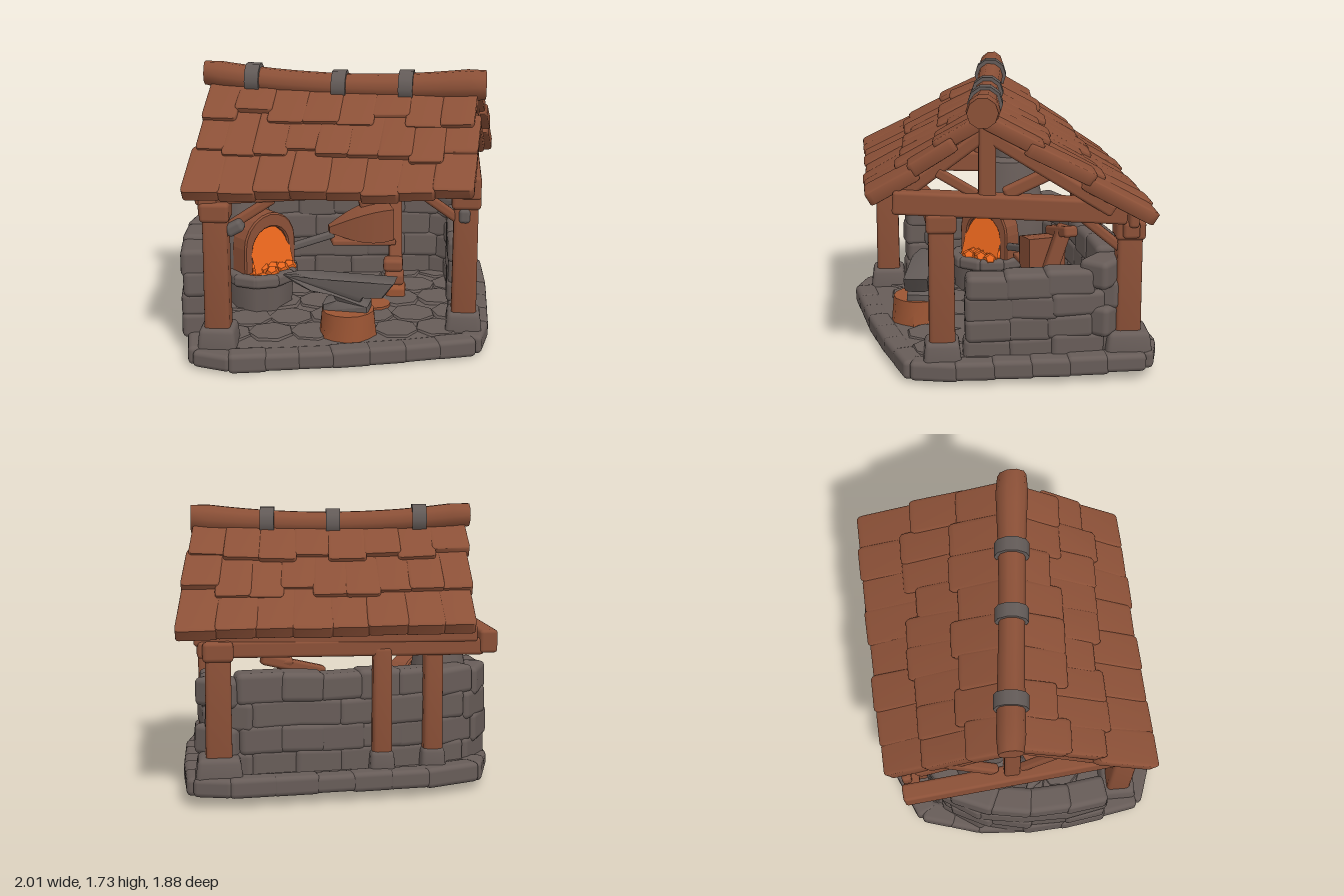
import * as THREE from 'three';
import { toCreasedNormals } from 'three/addons/utils/BufferGeometryUtils.js';
import { RoundedBoxGeometry } from 'three/addons/geometries/RoundedBoxGeometry.js';

const V = (x, y, z) => new THREE.Vector3(x, y, z);
const material = (name, color) => {
  const m = new THREE.MeshStandardMaterial({ color });
  m.name = name;
  return m;
};

export function createModel() {
  const wood = material('wood', 0x8b5037);
  const stone = material('stone', 0x675c58);
  const iron = material('iron', 0x635b58);
  const cutWood = material('cut wood', 0x9a5433);
  const ember = material('ember', 0xfa6e20);
  const model = new THREE.Group();
  model.name = 'forge';

  let seed = 7;
  const rnd = (a = 1) => { // seeded jitter in -a..a
    seed = (seed * 16807) % 2147483647;
    return (seed / 2147483647 * 2 - 1) * a;
  };
  const group = (name) => {
    const g = new THREE.Group();
    g.name = name;
    model.add(g);
    return g;
  };
  const add = (parent, name, geo, mat, x = 0, y = 0, z = 0) => {
    const m = new THREE.Mesh(geo, mat);
    m.name = name;
    m.position.set(x, y, z);
    parent.add(m);
    return m;
  };
  const warp = (geo, fn) => {
    const p = geo.attributes.position;
    for (let i = 0; i < p.count; i++) {
      const q = fn(p.getX(i), p.getY(i), p.getZ(i));
      p.setXYZ(i, q.x, q.y, q.z);
    }
    geo.computeVertexNormals();
    return toCreasedNormals(geo, 0.7);
  };
  const block = (w, h, d, r = 0.025) => new RoundedBoxGeometry(w, h, d, 2, Math.min(r, w / 3, h / 3, d / 3));
  // Squared timber running from a to b
  const beam = (parent, name, a, b, w, h, mat = wood) => {
    const m = add(parent, name, block(w, h, a.distanceTo(b), 0.02), mat);
    m.position.copy(a).lerp(b, 0.5);
    m.lookAt(b);
    return m;
  };
  const floorY = (z) => 0.1 + 0.03 * (0.93 - z);

  // Floor slab, rising slightly to the back
  const outline = [[-0.84, 0.84], [-0.63, 0.91], [0, 0.8], [0.45, 0.69], [0.88, 0.56], [0.93, 0.3], [0.94, -0.4],
    [0.92, -0.86], [0.72, -0.91], [0.2, -0.85], [-0.5, -0.76], [-0.82, -0.62], [-0.93, -0.25], [-0.95, 0.1], [-0.9, 0.5]];
  const floor = group('floor');
  const slab = new THREE.ExtrudeGeometry(
    new THREE.Shape(outline.map(([x, z]) => new THREE.Vector2(x * 0.98, -z * 0.98))), { depth: 0.105, bevelEnabled: false });
  slab.rotateX(-Math.PI / 2);
  add(floor, 'slab', warp(slab, (x, y, z) => V(x, y + 0.03 * (0.93 - z), z)), stone);
  outline.forEach(([x0, z0], i) => { // edging stones
    const [x1, z1] = outline[(i + 1) % outline.length];
    const len = Math.hypot(x1 - x0, z1 - z0);
    const n = Math.max(1, Math.round(len / 0.25));
    for (let k = 0; k < n; k++) {
      const t = (k + 0.5) / n, z = z0 + (z1 - z0) * t;
      const m = add(floor, 'edgeStone', block(len / n + 0.03, 0.115 + rnd(0.01), 0.14, 0.03), stone,
        (x0 + (x1 - x0) * t) * 0.96, floorY(z) - 0.043, z * 0.96);
      m.rotation.y = Math.atan2(-(z1 - z0), x1 - x0);
    }
  });
  for (let i = 0; i < 6; i++) for (let j = 0; j < 5; j++) { // flagstones
    const x = -0.66 + i * 0.26 + (j % 2) * 0.1, z = -0.42 + j * 0.25 - i * 0.035;
    const f = add(floor, 'flagstone', new THREE.CylinderGeometry(0.14, 0.16, 0.03, 7), stone, x, floorY(z) + 0.001 + rnd(0.005), z);
    f.rotation.y = rnd(3);
  }

  // Curved wall of coursed stones
  const wall = group('wall');
  const path = new THREE.CatmullRomCurve3([V(0.78, 0.62, 0.21), V(0.78, 0.63, -0.1), V(0.78, 0.66, -0.45), V(0.75, 0.7, -0.6),
    V(0.62, 0.73, -0.65), V(0.35, 0.74, -0.63), V(-0.1, 0.73, -0.58), V(-0.5, 0.74, -0.5), V(-0.78, 0.71, -0.34),
    V(-0.89, 0.68, -0.04), V(-0.9, 0.66, 0.28), V(-0.86, 0.61, 0.56)], false, 'centripetal');
  for (let row = 0; row < 4; row++) {
    const n = 13 + (row % 2);
    for (let k = 0; k < n; k++) {
      const t = (k + 0.5) / n;
      const p = path.getPointAt(t), d = path.getTangentAt(t);
      const base = floorY(p.z) - 0.02, h = (p.y - base) / 4;
      const thick = 0.165 + 0.03 * Math.abs(d.x) + rnd(0.015); // the back run is heavier
      const m = add(wall, 'wallStone', block(path.getLength() / n + 0.05 + rnd(0.02), h + 0.03 + rnd(0.015), thick, 0.035),
        stone, p.x, base + h * (row + 0.5), p.z);
      m.rotation.set(0, Math.atan2(-d.z, d.x) + rnd(0.04), rnd(0.04));
    }
  }

  // Posts with stone feet and wooden caps: x, z, top, foot width, capped
  const frame = group('frame');
  [[-0.7, 0.71, 1.02, 0.23, 1], [0.8, 0.37, 1.03, 0.22, 1], [0.76, -0.75, 0.96, 0.27, 1],
    [-0.54, -0.62, 0.9, 0.15, 0], [-0.22, -0.68, 0.9, 0.15, 0]]
    .forEach(([x, z, top, foot, capped]) => {
      const y0 = floorY(z) - 0.02, h = top - y0, w = capped ? 0.145 : 0.11;
      const g = warp(block(w, h, w, 0.025), (px, py, pz) => {
        const s = 1 + 0.12 * Math.abs(py / h) - 0.06 * py / h;
        return V(px * s, py, pz * s);
      });
      add(frame, 'post', g, wood, x, y0 + h / 2, z);
      if (capped) add(frame, 'postCap', block(w + 0.035, 0.12, w + 0.035), wood, x, top - 0.06, z);
      const plinth = warp(block(foot, 0.17, foot, 0.03), (px, py, pz) => V(px * (1 - py), py, pz * (1 - py)));
      add(frame, 'postFoot', plinth, stone, x, y0 + 0.06, z);
    });

  // Tie beams, headers and braces
  beam(frame, 'rightTieBeam', V(0.82, 1.1, 0.65), V(0.84, 1.02, -0.72), 0.12, 0.14);
  beam(frame, 'leftTieBeam', V(-0.74, 1.0, 0.78), V(-0.87, 0.92, -0.7), 0.11, 0.14);
  beam(frame, 'frontHeader', V(-0.82, 1.04, 0.73), V(0.85, 1.06, 0.4), 0.1, 0.08);
  beam(frame, 'backHeader', V(-0.84, 0.89, -0.64), V(0.88, 0.91, -0.75), 0.1, 0.1);
  beam(frame, 'backEaveBoard', V(-0.8, 0.97, -0.67), V(0.9, 0.98, -0.76), 0.06, 0.1);
  beam(frame, 'brace', V(-0.64, 0.84, 0.68), V(-0.36, 1.02, 0.64), 0.06, 0.06);
  beam(frame, 'brace', V(0.75, 0.84, 0.4), V(0.52, 1.02, 0.46), 0.06, 0.06);
  beam(frame, 'brace', V(0.78, 0.78, -0.7), V(0.8, 0.99, -0.45), 0.06, 0.06);
  beam(frame, 'brace', V(-0.72, 0.8, 0.66), V(-0.76, 0.95, 0.5), 0.06, 0.06);
  add(frame, 'bracket', block(0.11, 0.075, 0.11), iron, -0.585, 0.855, 0.71).rotation.z = 0.5;
  add(frame, 'bracket', block(0.07, 0.09, 0.17), iron, 0.79, 0.87, 0.38);

  // Both gable trusses
  [[0.82, 0.1, 1.08], [-0.78, -0.02, 0.97]].forEach(([x, z, y]) => {
    beam(frame, 'kingPost', V(x, y, z), V(x, 1.56, z), 0.1, 0.1);
    beam(frame, 'strut', V(x, y + 0.05, z - 0.1), V(x, 1.27, z - 0.4), 0.06, 0.08);
    beam(frame, 'strut', V(x, y + 0.05, z + 0.06), V(x, 1.27, z + 0.29), 0.05, 0.06);
  });

  // Roof slopes: corner points give a twisted sheet that carries rafters and shingles
  const roof = group('roof');
  const ridgeL = V(-0.83, 1.57, -0.03), ridgeR = V(0.88, 1.57, 0.12);
  const slopes = [
    [ridgeL, ridgeR, V(-0.87, 1.05, 0.84), V(0.81, 1.06, 0.78)],
    [ridgeR, ridgeL, V(0.99, 0.975, -0.86), V(-0.8, 0.985, -0.78)]];
  slopes.forEach(([a, b, c, d]) => {
    const at = (u, v) => {
      const p = a.clone().lerp(b, u).lerp(c.clone().lerp(d, u), v);
      p.y -= 0.02 * Math.sin(Math.PI * THREE.MathUtils.clamp(u, 0, 1)) * (1 - v);
      return p;
    };
    const normal = b.clone().sub(a).cross(a.clone().sub(c)).normalize();
    if (normal.y < 0) normal.negate();
    const under = (u, v, n) => at(u, v).addScaledVector(normal, -n);
    for (let i = 0; i < 6; i++) {
      const u = 0.03 + i * 0.188;
      beam(roof, 'rafter', under(u, 0.02, 0.06), under(u, 0.8, 0.06), 0.07, 0.08);
    }
    beam(roof, 'purlin', under(0.01, 0.55, 0.07), under(0.99, 0.55, 0.07), 0.05, 0.05);
    for (let row = 0; row < 3; row++) {
      const n = 8 + (row % 2);
      for (let k = 0; k < n; k++) {
        const u0 = k / n - (k ? 0.006 : rnd(0.02)), u1 = (k + 1) / n + (k < n - 1 ? 0.006 : rnd(0.02));
        const v0 = Math.max(0, row / 3 - 0.08), v1 = (row + 1) / 3 + (row < 2 ? rnd(0.065) : rnd(0.015));
        const lift = 0.035 + rnd(0.01), tilt = rnd(0.008);
        const g = warp(new RoundedBoxGeometry(1, 1, 1, 2, 0.1), (x, y, z) => {
          const p = at(u0 + (u1 - u0) * (x + 0.5), v0 + (v1 - v0) * (z + 0.5));
          return p.addScaledVector(normal, y * 0.085 + lift * (z + 0.5) + tilt * x);
        });
        add(roof, 'shingle', g, wood);
      }
    }
  });

  // Sagging ridge log with iron straps, thicker at the right end
  const ridge = new THREE.CatmullRomCurve3([V(-0.87, 1.65, -0.035), V(-0.425, 1.608, 0.005), V(0.02, 1.592, 0.05),
    V(0.465, 1.6, 0.09), V(0.91, 1.625, 0.13)]);
  const radius = (x) => 0.08 + (x > 0 ? 0.033 : 0.012) * x * x;
  const log = warp(new THREE.CylinderGeometry(1, 1, 1, 10, 16), (x, y, z) => {
    const c = ridge.getPoint(y + 0.5);
    const r = radius(c.x) * (Math.abs(y) > 0.49 ? 0.85 : 1); // chamfered ends
    return V(c.x, c.y - x * r, c.z + z * r);
  });
  add(roof, 'ridgeLog', log, wood);
  [-0.55, 0, 0.42].forEach((x) => {
    const c = ridge.getPoint((x + 0.87) / 1.78), r = radius(x) + 0.022;
    const s = add(roof, 'ridgeStrap', new THREE.CylinderGeometry(r, r, 0.09, 10), iron, c.x, c.y, c.z);
    s.rotation.set(0, -0.09, Math.PI / 2);
  });

  // Hearth, hood and chimney
  const hearth = group('hearth');
  const bowl = add(hearth, 'hearthBase', new THREE.CylinderGeometry(0.225, 0.21, 0.26, 9), stone, -0.53, 0.225, 0);
  bowl.scale.z = 1.15;
  for (let i = 0; i < 10; i++) {
    const a = i / 10 * Math.PI * 2;
    const s = add(hearth, 'rimStone', block(0.17, 0.08, 0.075), stone, -0.53 + Math.cos(a) * 0.2, 0.335, Math.sin(a) * 0.235);
    s.rotation.y = Math.PI / 2 - a;
  }
  const profile = [[0.25, 0.12], [0.27, 0.4], [0.26, 0.6], [0.22, 0.75], [0.18, 0.94], [0.165, 1.0], [0.125, 1.03], [0.1, 1.4], [0, 1.4]];
  const hood = toCreasedNormals(new THREE.LatheGeometry(profile.map(([r, y]) => new THREE.Vector2(r, y)), 12), 0.6);
  add(hearth, 'chimney', hood, stone, -0.66, 0, -0.15).scale.x = 0.75;
  add(hearth, 'emberBed', new THREE.CylinderGeometry(0.17, 0.17, 0.02, 10), ember, -0.48, 0.36, 0.04);
  for (let i = 0; i < 14; i++) {
    const a = i * 2.4, r = 0.03 + 0.008 * i;
    add(hearth, 'coal', new THREE.DodecahedronGeometry(0.05), ember, -0.47 + Math.cos(a) * r, 0.38 - r * 0.1, 0.04 + Math.sin(a) * r);
  }
  // Arched fire mouth with a sloping bed of fire
  const mouth = new THREE.Group();
  mouth.name = 'fireMouth';
  mouth.position.set(-0.52, 0.35, -0.01);
  mouth.rotation.y = 0.8;
  hearth.add(mouth);
  const arch = (w, h, S) => {
    const s = new S();
    s.moveTo(-w, 0);
    s.lineTo(w, 0);
    s.lineTo(w, h - w);
    s.absarc(0, h - w, w, 0, Math.PI, false);
    return s;
  };
  const archShape = arch(0.2, 0.385, THREE.Shape);
  archShape.holes.push(arch(0.155, 0.31, THREE.Path));
  add(mouth, 'arch', new THREE.ExtrudeGeometry(archShape, { depth: 0.12, bevelSize: 0.01, bevelThickness: 0.01, bevelSegments: 1, curveSegments: 5 }),
    wood, 0, 0, -0.04);
  add(mouth, 'fireGlow', new THREE.ShapeGeometry(arch(0.16, 0.335, THREE.Shape)), ember, 0, 0, 0.14).rotation.x = -0.33;

  // Stump and anvil
  const anvil = group('anvil');
  const stump = warp(new THREE.CylinderGeometry(0.165, 0.18, 0.17, 14, 2), (x, y, z) => {
    const k = 1 + 0.05 * Math.sin(Math.atan2(z, x) * 6) * (0.5 - y * 4);
    return V(x * k, y, z * k);
  });
  add(anvil, 'stump', stump, cutWood, 0.08, 0.19, 0.5);
  const outlineAnvil = [[-0.4, 0.465], [-0.32, 0.43], [-0.22, 0.395], [-0.08, 0.375], [-0.06, 0.335], [-0.14, 0.31], [-0.14, 0.275],
    [0.13, 0.275], [0.13, 0.31], [0.08, 0.335], [0.1, 0.37], [0.22, 0.375], [0.29, 0.47], [-0.2, 0.475], [-0.32, 0.478]];
  const body = new THREE.ExtrudeGeometry(new THREE.Shape(outlineAnvil.map(([x, y]) => new THREE.Vector2(x, y))),
    { depth: 0.13, bevelSize: 0.008, bevelThickness: 0.01, bevelSegments: 1 });
  add(anvil, 'anvilBody', warp(body, (x, y, z) => {
    const s = x < -0.21 ? Math.max(0.15, 1 - (-0.21 - x) * 4) : (y < 0.37 && y > 0.32 ? 0.75 : 1); // pointed horn, narrow waist
    return V(x, y, (z - 0.065) * s);
  }), iron, 0.08, 0, 0.49).rotation.y = -0.12;

  // Bellows on its leaning stand
  const bellows = group('bellows');
  beam(bellows, 'stand', V(0.36, 0.13, -0.2), V(0.34, 0.8, -0.42), 0.09, 0.09);
  beam(bellows, 'lever', V(0.1, 0.7, -0.36), V(0.49, 0.8, -0.44), 0.09, 0.07);
  beam(bellows, 'lowerRail', V(-0.08, 0.49, -0.2), V(0.34, 0.47, -0.3), 0.16, 0.04);
  const bag = warp(new THREE.BoxGeometry(0.42, 1, 1, 6, 4, 1), (x, y, z) => {
    const t = x / 0.42 + 0.5, pleat = 1 + 0.08 * Math.sin((y + 0.5) * Math.PI * 4);
    return V(x, 0.04 * t + y * (0.04 + 0.18 * Math.sin(t * 1.9)), z * (0.06 + 0.2 * Math.sin(t * 2)) * pleat);
  });
  add(bellows, 'bag', bag, wood, 0.11, 0.565, -0.26).rotation.y = 0.25;
  beam(bellows, 'nozzle', V(-0.34, 0.46, -0.12), V(-0.06, 0.53, -0.21), 0.05, 0.05, iron);
  [0.17, 0.25, 0.33].forEach((y, i) =>
    add(bellows, 'supportStep', block(0.13, 0.085, 0.16 - i * 0.02), i ? wood : cutWood, 0.36 - i * 0.01, y, -0.14 - i * 0.03));
  add(floor, 'floorPlate', new THREE.CylinderGeometry(0.1, 0.1, 0.02, 12), cutWood, 0.23, floorY(0.07) + 0.015, 0.07);

  return model;
}
